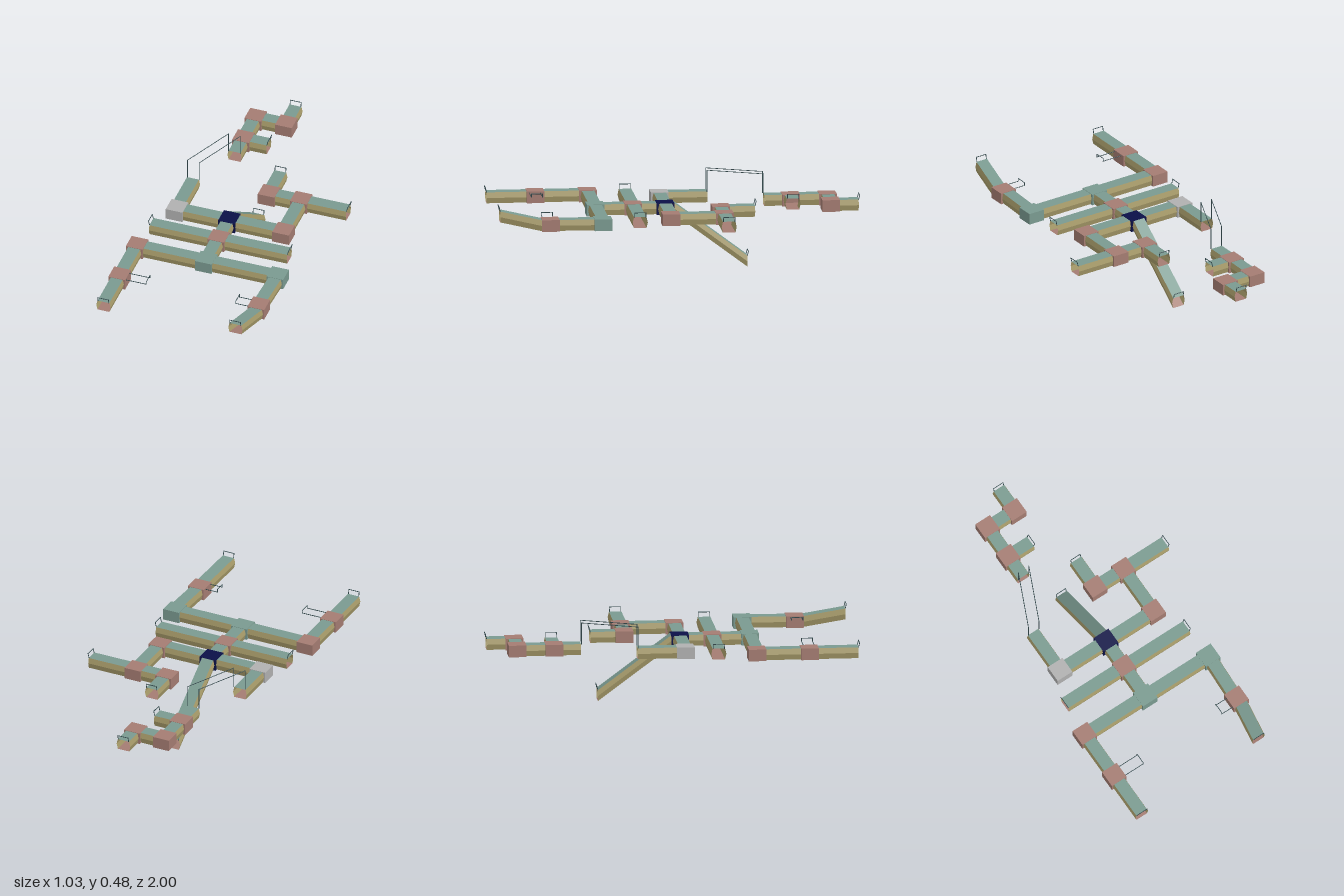
import * as THREE from 'three';

const paint = (color) => new THREE.MeshStandardMaterial({ color, side: THREE.DoubleSide, flatShading: true });
const V = (x, y, z) => new THREE.Vector3(x, y, z);
const Y = 0.33; // corridor centre height
const HALF = 0.048; // half width of a junction box
// Six-sided corridor section: [across, up]
const SECTION = [[-0.034, 0.03], [0.034, 0.03], [0.041, 0], [0.034, -0.03], [-0.034, -0.03], [-0.041, 0]];

export function createModel() {
  const model = new THREE.Group();
  const teal = paint(0x7a9a90), tan = paint(0xa89c6a), pink = paint(0xa47c72);
  const navy = paint(0x0a1048), grey = paint(0xb0b0b0), dark = paint(0x344a4e);

  const add = (parent, name, geometry, material) => {
    const mesh = new THREE.Mesh(geometry, material);
    mesh.name = name;
    parent.add(mesh);
    return mesh;
  };

  // Junctions: position, colour and the sides that open into corridors
  const J = {};
  const junction = (key, x, z, material) => { J[key] = { p: V(x, Y, z), material, open: new Set() }; };
  junction('hub', -0.075, 0.055, navy);
  junction('west', -0.375, 0.055, grey);
  junction('east', 0.235, 0.055, pink);
  junction('northEast', 0.235, -0.235, pink);
  junction('northInner', 0.05, -0.235, pink);
  junction('crossing', -0.075, 0.23, pink);
  junction('south', -0.075, 0.435, teal);
  junction('southWest', -0.47, 0.435, pink);
  junction('southEast', 0.335, 0.435, teal);
  junction('armWest', -0.47, 0.72, pink);
  junction('armEast', 0.327, 0.72, pink);
  junction('outerCorner', -0.24, -0.845, pink);
  junction('outerTip', -0.065, -0.845, pink);
  junction('outerBranch', -0.24, -0.645, pink);

  // Thin rod following a list of points
  const rod = (parent, name, points) => {
    for (let i = 1; i < points.length; i++) {
      const d = points[i].clone().sub(points[i - 1]);
      const bar = add(parent, name, new THREE.CylinderGeometry(0.002, 0.002, d.length() + 0.003, 6), dark);
      bar.position.copy(points[i]).add(points[i - 1]).multiplyScalar(0.5);
      bar.quaternion.setFromUnitVectors(V(0, 1, 0), d.normalize());
    }
  };

  // Handle standing on an open corridor end
  const handle = (p, side, out) => {
    const at = (s, h, o) => p.clone().addScaledVector(side, s).addScaledVector(out, o).add(V(0, h, 0));
    rod(model, 'endHandle', [at(-0.031, 0.03, 0), at(-0.031, 0.055, 0.006), at(0.031, 0.055, 0.006), at(0.031, 0.03, 0)]);
  };

  // Side quads of a corridor for the chosen section edges
  const strips = (a, b, side, edges) => {
    const pos = [];
    const at = (p, [u, h]) => p.clone().addScaledVector(side, u).add(V(0, h, 0));
    for (const i of edges) {
      const s = SECTION[i], t = SECTION[(i + 1) % 6];
      const [q, r, v, w] = [at(a, s), at(a, t), at(b, t), at(b, s)];
      for (const k of [q, r, v, q, v, w]) pos.push(k.x, k.y, k.z);
    }
    const g = new THREE.BufferGeometry();
    g.setAttribute('position', new THREE.Float32BufferAttribute(pos, 3));
    g.computeVertexNormals();
    return g;
  };

  // Corridor from a junction to another junction or to an open end
  const corridor = (from, to) => {
    const ends = [from, to].map((e) => (typeof e === 'string' ? J[e].p : e));
    const d = ends[1].clone().sub(ends[0]);
    const dir = Math.abs(d.x) > Math.abs(d.z) ? V(Math.sign(d.x), 0, 0) : V(0, 0, Math.sign(d.z));
    const side = V(-dir.z, 0, dir.x);
    const [a, b] = [from, to].map((e, i) => {
      if (typeof e !== 'string') return e;
      const out = dir.clone().multiplyScalar(i ? -1 : 1);
      J[e].open.add(`${out.x + 0},${out.z + 0}`);
      return J[e].p.clone().addScaledVector(out, HALF);
    });
    const group = new THREE.Group();
    group.name = 'corridor';
    add(group, 'ceiling', strips(a, b, side, [0]), teal);
    add(group, 'floor', strips(a, b, side, [3]), pink);
    add(group, 'walls', strips(a, b, side, [1, 2, 4, 5]), tan);
    model.add(group);
    if (typeof to !== 'string') return { b, side, dir };
    return null;
  };
  const openCorridor = (from, x, y, z, withHandle = true) => {
    const { b, side, dir } = corridor(from, V(x, y, z));
    if (withHandle) handle(b, side, dir);
  };

  // Linked corridors
  for (const [a, b] of [
    ['southWest', 'south'], ['south', 'southEast'], ['southWest', 'armWest'], ['southEast', 'armEast'],
    ['south', 'crossing'], ['crossing', 'hub'], ['west', 'hub'], ['hub', 'east'], ['east', 'northEast'],
    ['northInner', 'northEast'], ['outerBranch', 'outerCorner'], ['outerCorner', 'outerTip'],
  ]) corridor(a, b);

  // Open-ended corridors
  openCorridor('armWest', -0.47, Y, 0.985);
  openCorridor('armEast', 0.288, 0.375, 0.99); // rising
  openCorridor('crossing', -0.46, Y, 0.23);
  openCorridor('crossing', 0.33, Y, 0.23);
  openCorridor('hub', -0.065, 0.033, -0.39); // descending ramp
  openCorridor('west', -0.375, Y, -0.205, false);
  openCorridor('northEast', 0.505, Y, -0.235);
  openCorridor('northInner', 0.05, Y, -0.42);
  openCorridor('outerBranch', -0.24, Y, -0.5, false);
  openCorridor('outerBranch', -0.095, Y, -0.645);
  openCorridor('outerTip', -0.065, Y, -0.995);

  // Junction boxes with section-shaped doorways
  const H = 0.032;
  for (const [key, { p, material, open }] of Object.entries(J)) {
    const group = new THREE.Group();
    group.name = key + 'Junction';
    group.position.copy(p);
    for (const s of [1, -1]) {
      const plate = add(group, s > 0 ? 'roof' : 'base', new THREE.PlaneGeometry(2 * HALF, 2 * HALF), material);
      plate.rotation.x = -s * Math.PI / 2;
      plate.position.y = s * H;
    }
    [[0, 1], [1, 0], [0, -1], [-1, 0]].forEach(([x, z], i) => {
      const shape = new THREE.Shape([[-HALF, -H], [HALF, -H], [HALF, H], [-HALF, H]].map((q) => new THREE.Vector2(...q)));
      if (open.has(`${x},${z}`)) shape.holes.push(new THREE.Path(SECTION.map((q) => new THREE.Vector2(...q))));
      const wall = add(group, 'wall', new THREE.ShapeGeometry(shape), material);
      wall.rotation.y = i * Math.PI / 2;
      wall.position.set(x * HALF, 0, z * HALF);
    });
    model.add(group);
  }

  // Raised rails bridging to the detached wing
  for (const s of [-1, 1]) {
    const x0 = -0.372 + s * 0.034, x1 = -0.24 + s * 0.034;
    rod(model, 'bridgeRail', [V(x0, 0.36, -0.203), V(x0, 0.477, -0.203), V(x1, 0.477, -0.497), V(x1, 0.36, -0.497)]);
  }

  // Side brackets on the two arms
  for (const [x0, x1] of [[-0.422, -0.305], [0.279, 0.208]]) {
    rod(model, 'sideBracket', [
      V(x0, 0.355, 0.695), V(x1, 0.355, 0.695), V(x1, 0.372, 0.695),
      V(x1, 0.372, 0.755), V(x1, 0.355, 0.755), V(x0, 0.355, 0.755),
    ]);
  }
  return model;
}
